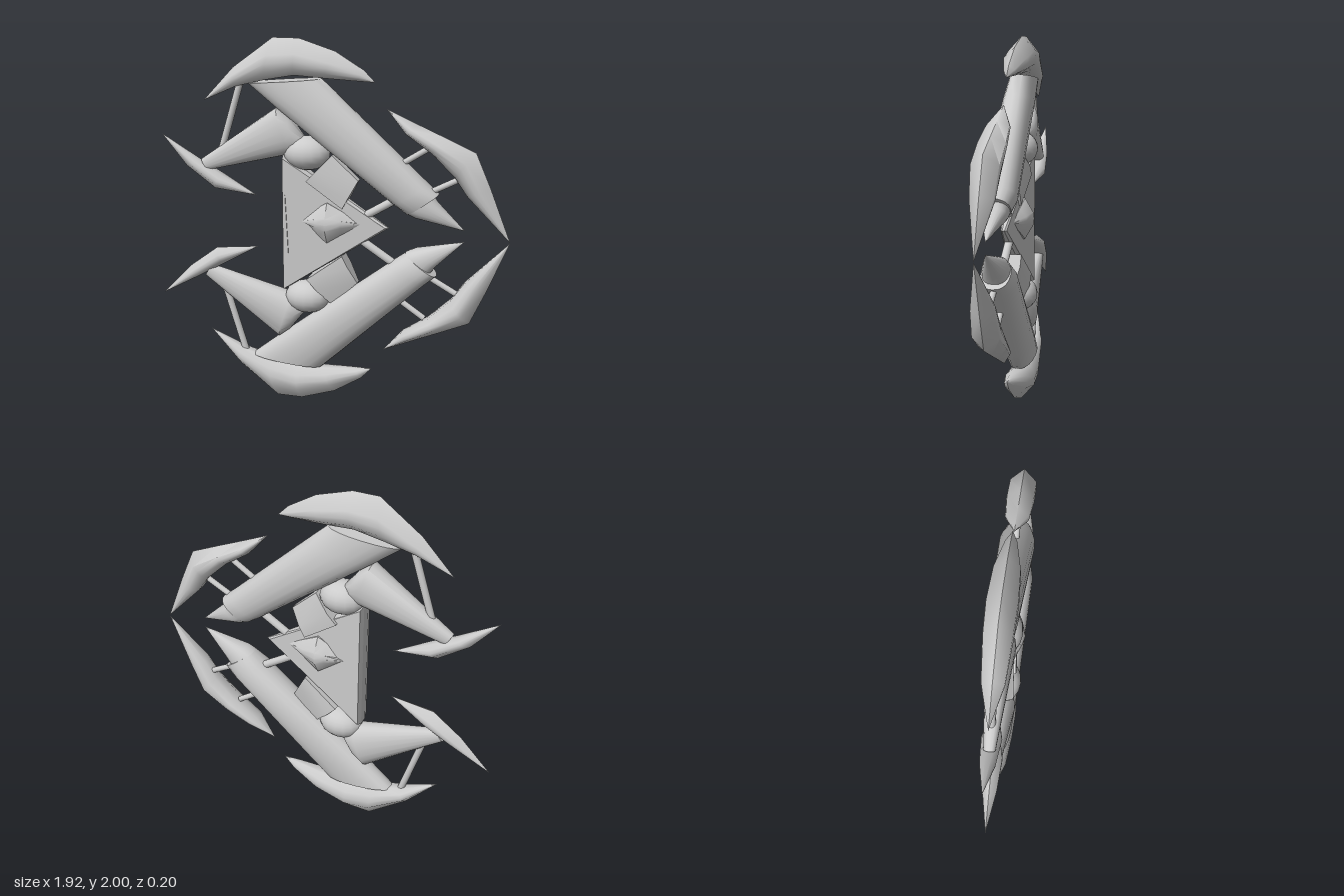
import * as THREE from 'three';
import { toCreasedNormals } from 'three/addons/utils/BufferGeometryUtils.js';

const mat = new THREE.MeshStandardMaterial({ color: 0xcccccc });

// Cross-sections: u runs from inner edge (-1) to outer edge (+1), v is depth.
const bladeSection = [[1, 0], [0.2, 0.95], [-0.2, 1], [-0.6, 0.9], [-1, 0.4],
  [-1, -0.4], [-0.6, -0.9], [-0.2, -1], [0.2, -0.95]];
const bracketSection = [[1, 0.45], [-0.2, 1], [-1, 1], [-1, -1], [-0.2, -1], [1, -0.45]];
const studSection = [[1, 0.5], [0.3, 0.95], [0, 1], [-0.3, 0.95], [-1, 0.5],
  [-1, -0.5], [-0.3, -0.95], [0, -1], [0.3, -0.95], [1, -0.5]];
const roundSection = Array.from({ length: 20 }, (_, i) => {
  const a = (i / 20) * Math.PI * 2, c = Math.cos(a), s = Math.sin(a);
  return [Math.sign(c) * Math.abs(c) ** 0.9, Math.sign(s) * Math.abs(s) ** 0.8];
});

// Solid through stations [outerX, outerY, innerX, innerY, halfDepth].
function loft(stations, section, crease) {
  const n = section.length, pos = [], idx = [];
  for (const [ox, oy, ix, iy, t] of stations)
    for (const [u, v] of section)
      pos.push((ox + ix + u * (ox - ix)) / 2, (oy + iy + u * (oy - iy)) / 2, v * t);
  for (let r = 0; r < stations.length - 1; r++)
    for (let j = 0; j < n; j++) {
      const a = r * n + j, b = r * n + (j + 1) % n;
      idx.push(a, b, a + n, b, b + n, a + n);
    }
  const last = (stations.length - 1) * n;
  for (let j = 1; j < n - 1; j++) idx.push(0, j + 1, j, last, last + j, last + j + 1);

  // turn the faces outward
  const p = i => new THREE.Vector3().fromArray(pos, i * 3);
  let volume = 0;
  for (let i = 0; i < idx.length; i += 3) volume += p(idx[i]).dot(p(idx[i + 1]).cross(p(idx[i + 2])));
  if (volume < 0) idx.reverse();

  const g = new THREE.BufferGeometry();
  g.setAttribute('position', new THREE.Float32BufferAttribute(pos, 3));
  g.setIndex(idx);
  return toCreasedNormals(g, crease);
}

function add(group, name, geometry) {
  const mesh = new THREE.Mesh(geometry, mat);
  mesh.name = name;
  group.add(mesh);
  return mesh;
}

// One half of the frame; the lower half mirrors the upper one, reaching
// slightly further toward the middle by the factor grow.
function buildHalf(upper) {
  const half = new THREE.Group();
  half.name = upper ? 'upperHalf' : 'lowerHalf';
  const my = (y, grow = 1.04) => (upper ? y : (2 - y) * grow);
  const solid = (name, stations, section, crease, grow) => add(half, name,
    loft(stations.map(([a, b, c, d, t]) => [a, my(b, grow), c, my(d, grow), t]), section, crease));
  const strut = (name, x1, y1, x2, y2, r) => {
    const a = new THREE.Vector3(x1, my(y1), 0), b = new THREE.Vector3(x2, my(y2), 0);
    const m = add(half, name, new THREE.CylinderGeometry(r, r, a.distanceTo(b), 12));
    m.position.copy(a).lerp(b, 0.5);
    m.quaternion.setFromUnitVectors(new THREE.Vector3(0, 1, 0), b.sub(a).normalize());
  };

  // curved outer fins
  solid('outerFin', [
    [-0.68, 1.66, -0.68, 1.66, 0], [-0.51, 1.84, -0.49, 1.745, 0.055],
    [-0.29, 2, -0.33, 1.785, 0.07], [-0.15, 2, -0.17, 1.815, 0.075],
    [0.04, 1.94, -0.01, 1.805, 0.065], [0.19, 1.85, 0.16, 1.795, 0.03],
    [0.25, 1.79, 0.25, 1.79, 0],
  ], bladeSection, 0.9, 1.07);
  solid('sideFin', [
    [0.31, 1.66, 0.31, 1.66, 0], [0.47, 1.59, 0.415, 1.54, 0.06],
    [0.61, 1.53, 0.55, 1.45, 0.072], [0.77, 1.46, 0.67, 1.335, 0.072],
    [0.85, 1.28, 0.735, 1.24, 0.06], [0.96, 1.005, 0.96, 1.005, 0],
  ], bladeSection, 0.9, 1.01);
  const rearTip = upper ? -0.93 : -0.96;
  solid('rearFin', [
    [rearTip, 1.47, rearTip, 1.47, 0], [-0.79, 1.3, -0.72, 1.34, 0.04],
    [-0.63, 1.185, -0.585, 1.265, 0.052], [-0.39, 1.16, -0.39, 1.16, 0],
  ], bladeSection, 0.9);

  // long arm, closing in around its pointed tip
  solid('mainArm', [
    [-0.03, 1.8, -0.43, 1.765, 0.065], [0.08, 1.7, -0.27, 1.64, 0.075],
    [0.53, 1.285, 0.36, 1.17, 0.095], [0.59, 1.235, 0.43, 1.12, 0.075],
  ], roundSection, 0.9);
  solid('armTip', [
    [0.56, 1.225, 0.425, 1.125, 0.07], [0.585, 1.19, 0.47, 1.105, 0.065],
    [0.73, 1.05, 0.73, 1.05, 0],
  ], roundSection, 0.9, 1.045);

  // tapered rear arm
  solid('rearArm', [
    [-0.7, 1.345, -0.66, 1.285, 0.03], [-0.27, 1.645, -0.19, 1.4, 0.075],
    [-0.21, 1.6, -0.15, 1.42, 0.065], [-0.13, 1.5, -0.12, 1.46, 0.03],
  ], roundSection, 0.8);

  // joint and the wedge bracket to the core
  const joint = add(half, 'joint', new THREE.SphereGeometry(0.1, 16, 12));
  joint.position.set(-0.11, my(1.41), 0);
  joint.scale.set(1.25, 0.9, 0.95);
  solid('bracket', [
    [0.03, 1.41, -0.1, 1.27, 0.065], [0.17, 1.28, 0.09, 1.13, 0.045],
  ], bracketSection, 0.4, 1);

  // thin connecting rods
  strut('rearStrut', -0.47, 1.77, -0.585, 1.4, 0.019);
  strut('sideStrut', 0.36, 1.36, 0.53, 1.47, 0.016);
  strut('sideStrut', 0.52, 1.23, 0.71, 1.33, 0.016);
  strut('coreStrut', 0.17, 1.07, 0.38, 1.2, 0.022);
  return half;
}

// Triangular core, thinning toward its apex, with a recess in its front.
function buildCore() {
  const core = new THREE.Group();
  core.name = 'core';
  const triangle = () => new THREE.Shape([[-0.228, 0.665], [0.315, 1.035], [-0.228, 1.385]]
    .map(p => new THREE.Vector2(...p)));
  const tapered = (name, shape, z, options) => {
    const g = new THREE.ExtrudeGeometry(shape, options).translate(0, 0, z);
    const p = g.attributes.position;
    for (let i = 0; i < p.count; i++) p.setZ(i, p.getZ(i) * (1 - 1.35 * (p.getX(i) + 0.24)));
    g.computeVertexNormals();
    add(core, name, g);
  };
  tapered('coreBody', triangle(), -0.025, {
    depth: 0.05, bevelEnabled: true, bevelThickness: 0.035, bevelSize: 0.012, bevelSegments: 1,
  });
  const face = triangle();
  face.holes.push(new THREE.Path([[-0.215, 1.19], [-0.14, 1.2], [-0.14, 1.05], [-0.2, 0.87]]
    .map(p => new THREE.Vector2(...p))));
  tapered('corePlate', face, 0.05, { depth: 0.016, bevelEnabled: false });

  // faceted stud standing out on both faces
  add(core, 'coreStud', loft([
    [-0.14, 1.05, -0.14, 1.05, 0.05], [-0.04, 1.13, -0.04, 0.975, 0.088],
    [0.01, 1.16, 0.01, 0.94, 0.1], [0.09, 1.115, 0.09, 0.99, 0.075],
    [0.2, 1.05, 0.2, 1.05, 0.02],
  ], studSection, 0.6));
  return core;
}

export function createModel() {
  const model = new THREE.Group();
  model.name = 'emblemFrame';
  model.add(buildHalf(true), buildHalf(false), buildCore());
  return model;
}
